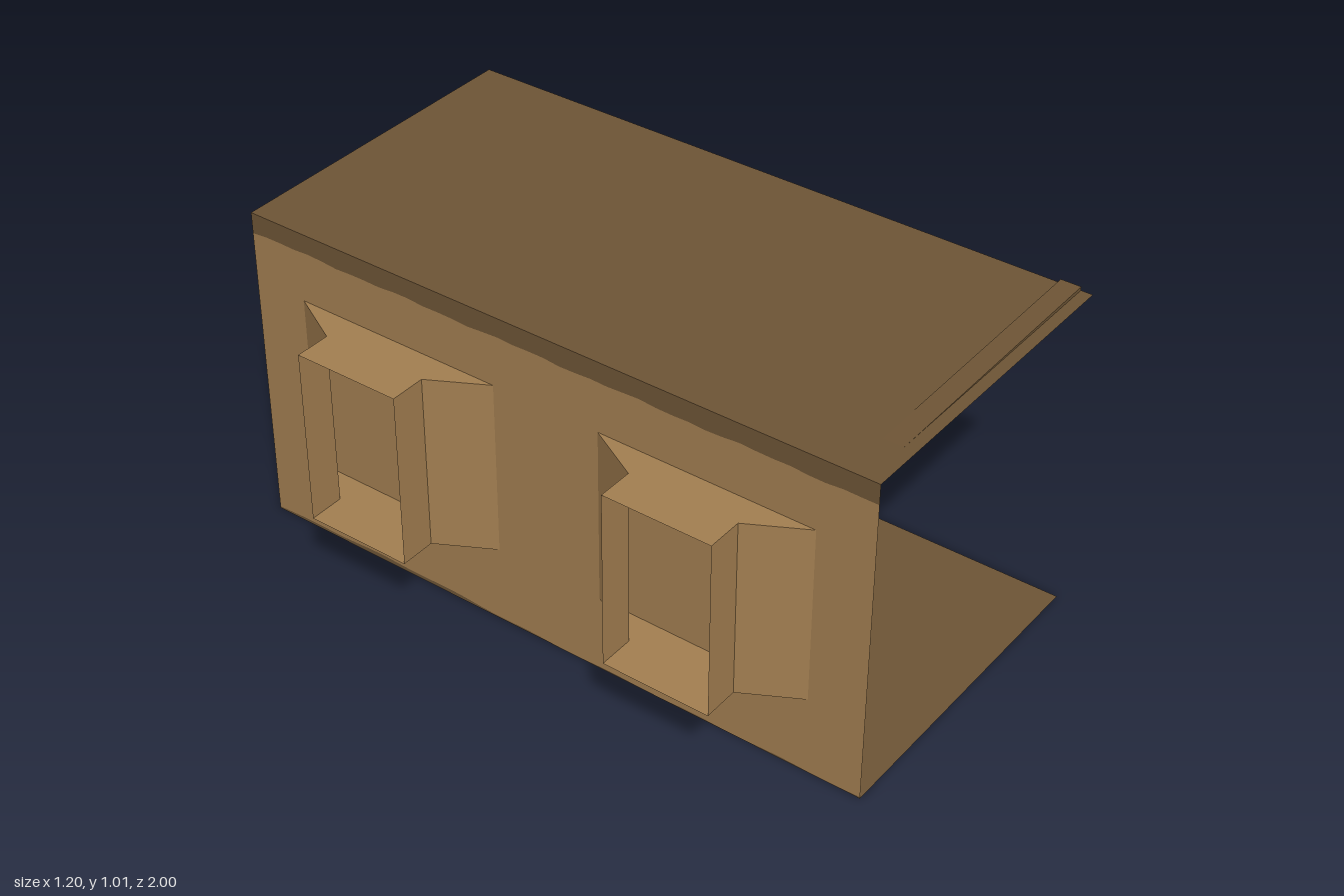
import * as THREE from 'three';

const mat = (name, color) => {
  const m = new THREE.MeshStandardMaterial({ color, side: THREE.DoubleSide });
  m.name = name;
  return m;
};

export function createModel() {
  const group = new THREE.Group();
  const darkWood = mat('darkWood', 0x6e5536);
  const lightWood = mat('lightWood', 0xa37f51);

  const add = (name, geometry, material, parent = group) => {
    const mesh = new THREE.Mesh(geometry, material);
    mesh.name = name;
    parent.add(mesh);
    return mesh;
  };

  // Floor and roof: thin sheets open on three sides
  for (const [name, y] of [['floor', 0], ['roof', 1]]) {
    add(name, new THREE.PlaneGeometry(1, 2).rotateX(-Math.PI / 2).translate(0.1, y, 0), darkWood);
  }

  // Side wall, split into bands whose borders are slightly uneven (u runs along -z)
  const topBorder = u => 0.939 + 0.002 * Math.sin(u * 17) + 0.002 * Math.sin(u * 41 + 1);
  const bottomBorder = u => 0.003 + 0.002 * Math.sin(u * 23)
    + 0.01 * THREE.MathUtils.smoothstep(u, 0, 0.5) * (1 - 0.6 * THREE.MathUtils.smoothstep(u, 0.6, 1));
  const band = (lower, upper) => {
    const points = [];
    const n = 40;
    for (let i = 0; i <= n; i++) {
      const u = -1 + (2 * i) / n;
      points.push(new THREE.Vector2(u, lower(u)));
    }
    for (let i = n; i >= 0; i--) {
      const u = -1 + (2 * i) / n;
      points.push(new THREE.Vector2(u, upper(u)));
    }
    return new THREE.ShapeGeometry(new THREE.Shape(points))
      .rotateY(Math.PI / 2).translate(-0.4, 0, 0);
  };
  add('wallFoot', band(() => 0, bottomBorder), darkWood);
  add('wall', band(bottomBorder, topBorder), lightWood);
  add('wallTopTrim', band(topBorder, () => 1), darkWood);

  // Two flared window bays, open at their outer end
  const side = [[-0.4, 0.33], [-0.49, 0.165], [-0.6, 0.165]];
  const low = 0.243, high = 0.785;
  const outline = [...side, ...side.map(([x, z]) => [x, -z]).reverse()];
  const cap = new THREE.Shape(outline.map(([x, z]) => new THREE.Vector2(x, z)));
  for (const z of [-0.5, 0.5]) {
    const bay = new THREE.Group();
    bay.name = z < 0 ? 'backWindowBay' : 'frontWindowBay';
    bay.position.z = z;
    group.add(bay);
    for (const [name, y] of [['baySill', low], ['bayTop', high]]) {
      add(name, new THREE.ShapeGeometry(cap).rotateX(-Math.PI / 2).translate(0, y, 0), lightWood, bay);
    }
    for (const s of [-1, 1]) {
      for (let i = 0; i < 2; i++) {
        const [x0, z0] = side[i], [x1, z1] = side[i + 1];
        const panel = new THREE.PlaneGeometry(Math.hypot(x1 - x0, z1 - z0), high - low);
        panel.rotateY(-Math.atan2(s * (z0 - z1), x0 - x1));
        panel.translate((x0 + x1) / 2, (low + high) / 2, (s * (z0 + z1)) / 2);
        add(i ? 'bayCheek' : 'bayFlare', panel, lightWood, bay);
      }
    }
  }

  // Beam under the front roof edge; its top rises towards the open side
  const beam = new THREE.BoxGeometry(1, 0.06, 0.06).translate(0.1, 0.97, 0.935);
  const p = beam.attributes.position;
  for (let i = 0; i < p.count; i++) {
    if (p.getY(i) > 0.97) p.setY(i, p.getX(i) > 0 ? 1.011 : 0.998);
    else p.setY(i, p.getZ(i) > 0.935 ? 0.955 : 0.948);
  }
  beam.computeVertexNormals();
  add('frontBeam', beam, darkWood);

  return group;
}
